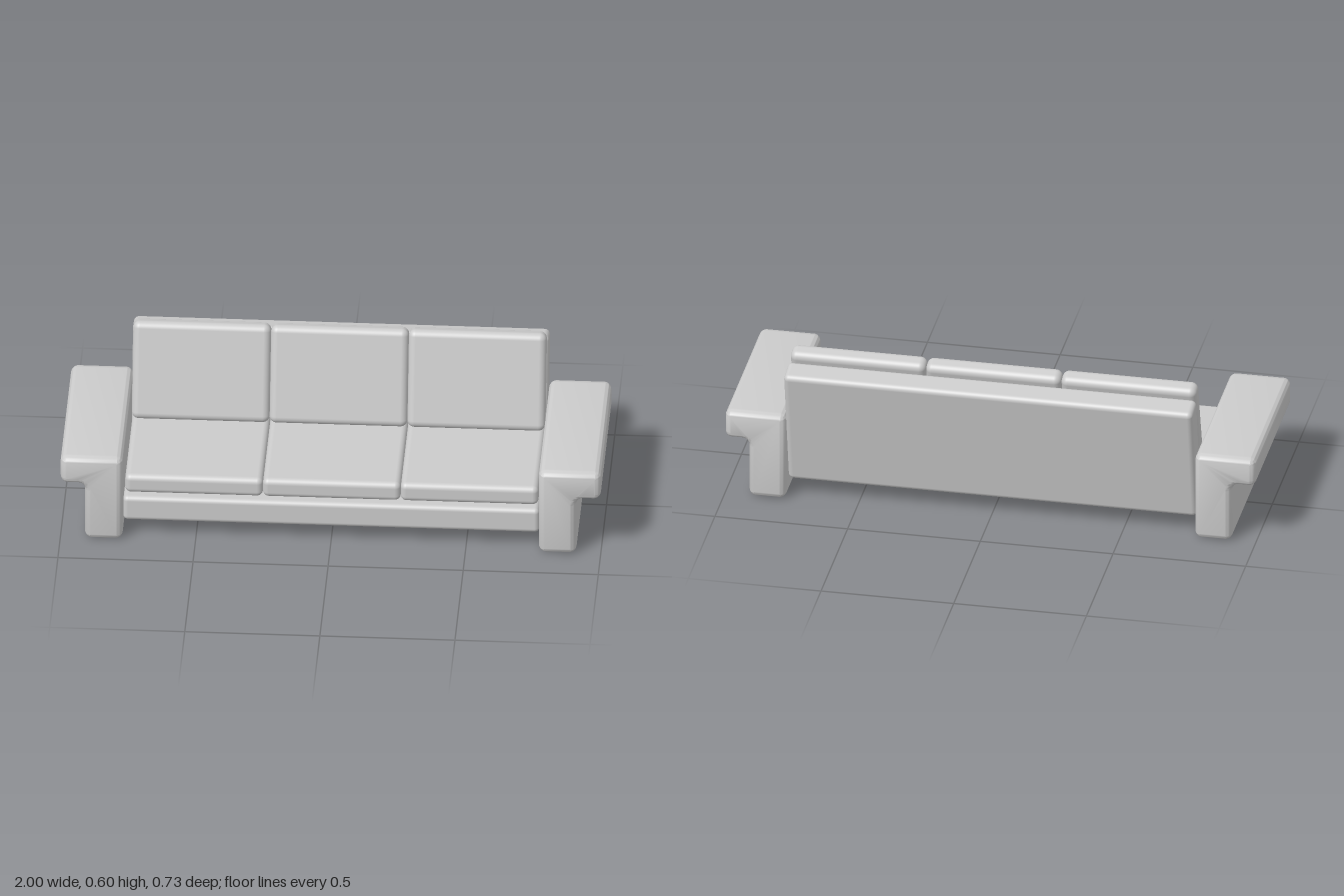
import * as THREE from 'three';
import { RoundedBoxGeometry } from 'three/addons/geometries/RoundedBoxGeometry.js';
import { toCreasedNormals } from 'three/addons/utils/BufferGeometryUtils.js';

const material = new THREE.MeshStandardMaterial({ color: 0xcccccc });

// Soft-edged block spanning the given limits
function block(name, [x0, x1], [y0, y1], [z0, z1], radius) {
  const mesh = new THREE.Mesh(new RoundedBoxGeometry(x1 - x0, y1 - y0, z1 - z0, 5, radius), material);
  mesh.position.set((x0 + x1) / 2, (y0 + y1) / 2, (z0 + z1) / 2);
  mesh.name = name;
  return mesh;
}

// Soft-edged slab leaning backwards, placed by the centre of its top face
function leaningSlab(name, x, topY, topZ, width, length, thickness, lean, radius) {
  const mesh = new THREE.Mesh(new RoundedBoxGeometry(width, length, thickness, 5, radius), material);
  mesh.rotation.x = -lean;
  mesh.position.set(x, topY - Math.cos(lean) * length / 2, topZ + Math.sin(lean) * length / 2);
  mesh.name = name;
  return mesh;
}

// Closed outline with every corner rounded
function roundedOutline(points, r) {
  const shape = new THREE.Shape();
  const pts = points.map(([x, y]) => new THREE.Vector2(x, y));
  pts.forEach((p, i) => {
    const toward = (q) => p.clone().add(q.clone().sub(p).setLength(r));
    const a = toward(pts[(i + pts.length - 1) % pts.length]);
    const b = toward(pts[(i + 1) % pts.length]);
    const centre = a.clone().add(b).sub(p);
    const start = a.clone().sub(centre).angle();
    const end = b.clone().sub(centre).angle();
    const turn = a.clone().sub(centre).cross(b.clone().sub(centre));
    shape.absarc(centre.x, centre.y, r, start, end, turn < 0);
  });
  shape.closePath();
  return shape;
}

// Armrest: upright panel with a wide top overhanging outwards
function armGeometry(side) {
  const profile = [[0.77, 0], [0.91, 0], [0.91, 0.235], [1, 0.235], [1, 0.347], [0.77, 0.347]];
  const points = profile.map(([x, y]) => [x * side, y]);
  if (side < 0) points.reverse();
  const bevel = 0.035, back = -0.326, front = 0.367;
  const geometry = new THREE.ExtrudeGeometry(roundedOutline(points, 0.026), {
    depth: front - back - 2 * bevel, curveSegments: 6,
    bevelThickness: bevel, bevelSize: 0.024, bevelOffset: -0.024, bevelSegments: 6,
  });
  geometry.translate(0, 0, back + bevel);
  return toCreasedNormals(geometry, 0.7);
}

export function createModel() {
  const sofa = new THREE.Group();
  sofa.name = 'sofa';

  // Frame
  sofa.add(block('base', [-0.77, 0.77], [0.06, 0.16], [-0.25, 0.32], 0.018));
  sofa.add(leaningSlab('backrest', 0, 0.546, -0.317, 1.54, 0.485, 0.1, 0.195, 0.02));

  // Three seat cushions and three back cushions
  const width = 0.51;
  for (let i = -1; i <= 1; i++) {
    const x = i * width;
    sofa.add(block('seatCushion', [x - width / 2, x + width / 2], [0.16, 0.236], [-0.2, 0.292], 0.022));
    sofa.add(leaningSlab('backCushion', x, 0.592, -0.239, width, 0.375, 0.072, 0.27, 0.026));
  }

  // Armrests
  for (const side of [1, -1]) {
    const arm = new THREE.Mesh(armGeometry(side), material);
    arm.name = side > 0 ? 'leftArm' : 'rightArm';
    sofa.add(arm);
  }
  return sofa;
}
